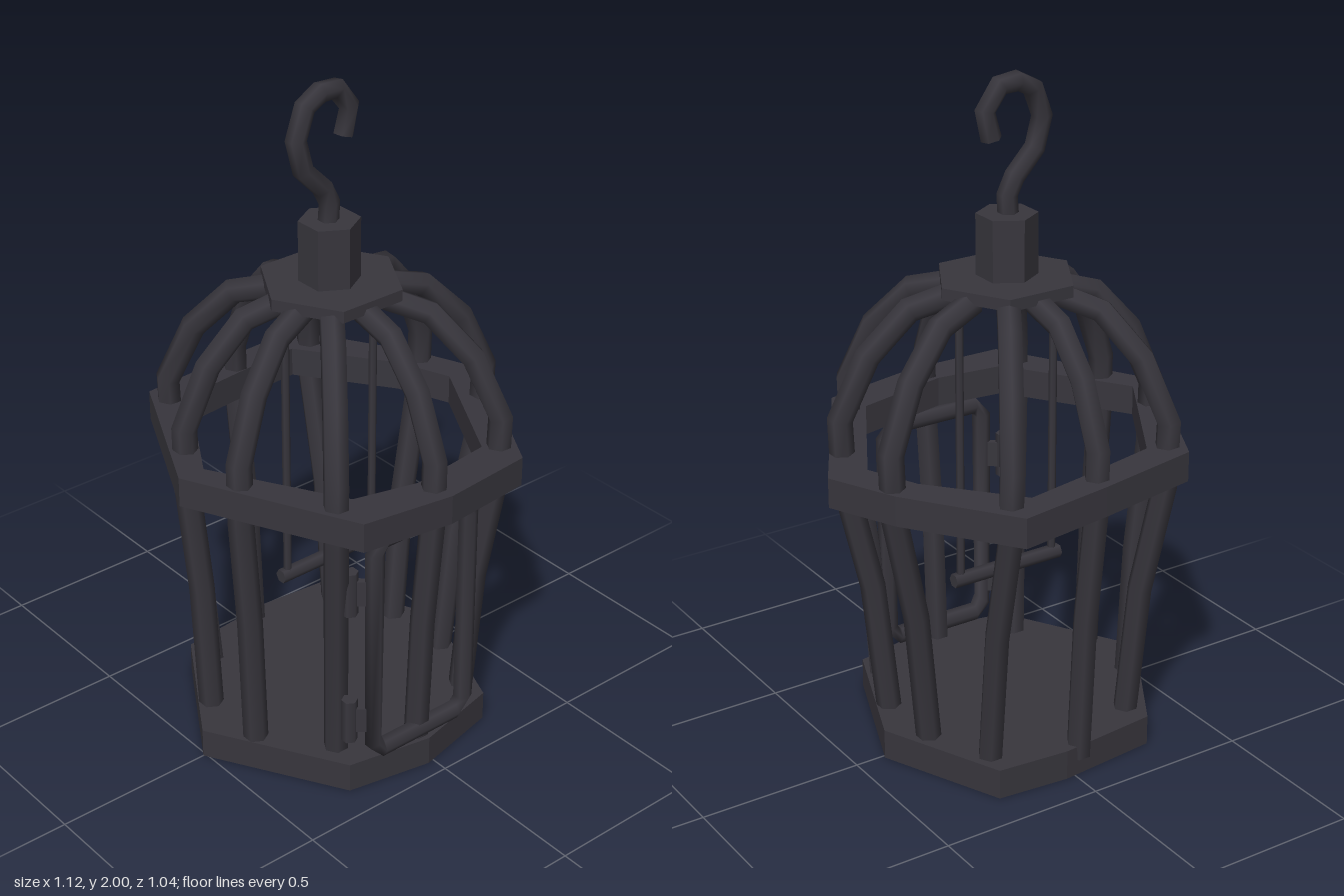
import * as THREE from 'three';

const iron = new THREE.MeshStandardMaterial({ color: 0x38363d });
iron.name = 'dark iron';

// Straight-segment path: one ring of the tube falls on every point
class Polyline extends THREE.Curve {
  constructor(points, closed = false) {
    super();
    this.points = closed ? [...points, points[0]] : points;
  }
  getPoint(t, target = new THREE.Vector3()) {
    const n = this.points.length - 1;
    const i = Math.min(Math.floor(t * n + 1e-9), n - 1);
    return target.lerpVectors(this.points[i], this.points[i + 1], t * n - i);
  }
  getPointAt(u, target) { return this.getPoint(u, target); }
  getTangentAt(u, target) { return this.getTangent(u, target); }
}

const v = (x, y, z) => new THREE.Vector3(x, y, z);

export function createModel() {
  const model = new THREE.Group();
  model.name = 'birdcage';

  const add = (name, geometry, parent = model) => {
    const mesh = new THREE.Mesh(geometry, iron);
    mesh.name = name;
    parent.add(mesh);
    return mesh;
  };
  const group = (name) => {
    const g = new THREE.Group();
    g.name = name;
    model.add(g);
    return g;
  };
  const tube = (name, points, radius, parent, closed = false) =>
    add(name, new THREE.TubeGeometry(new Polyline(points, closed),
      closed ? points.length : points.length - 1, radius, 6, closed), parent);
  const rod = (name, radius, length, sides, x, y, z, parent) => {
    const mesh = add(name, new THREE.CylinderGeometry(radius, radius, length, sides), parent);
    mesh.position.set(x, y, z);
    return mesh;
  };
  // Horizontal slab from an outline of [x, z] corners
  const slab = (outline, height, hole) => {
    const toPoints = (list) => list.map(([x, z]) => new THREE.Vector2(x, -z));
    const shape = new THREE.Shape(toPoints(outline));
    if (hole) shape.holes.push(new THREE.Path(toPoints(hole)));
    return new THREE.ExtrudeGeometry(shape, { depth: height, bevelEnabled: false }).rotateX(-Math.PI / 2);
  };

  // Floor
  add('base', slab([[-0.51, 0], [-0.28, 0.4], [-0.02, 0.45], [0.25, 0.39],
    [0.41, -0.01], [0.25, -0.38], [0.03, -0.4], [-0.28, -0.37]], 0.092));

  // Slightly tilted band around the bars
  const outer = [[-0.56, 0], [-0.31, 0.49], [-0.02, 0.52], [0.28, 0.48], [0.56, 0.01],
    [0.47, -0.2], [0.26, -0.525], [-0.02, -0.5], [-0.33, -0.46]];
  const inner = [[-0.475, 0], [-0.25, 0.37], [-0.05, 0.41], [0.23, 0.365], [0.445, -0.01],
    [0.38, -0.17], [0.18, -0.43], [-0.02, -0.405], [-0.25, -0.37]];
  const band = slab(outer, 0.09, inner);
  const p = band.attributes.position;
  for (let i = 0; i < p.count; i++) p.setY(i, p.getY(i) + 0.867 - 0.04 * p.getX(i));
  band.computeVertexNormals();
  add('band', band);

  // Bars: [x, z] at the band, then [x, z] at the floor
  const bars = group('bars');
  const cx = -0.025;
  [
    [-0.03, 0.455, -0.03, 0.4], [0.275, 0.39, 0.235, 0.3], [0.45, 0.13, 0.315, 0.115],
    [0.455, -0.155, 0.31, -0.1], [0.25, -0.44, 0.225, -0.29], [-0.03, -0.44, -0.03, -0.37],
    [-0.31, -0.39, -0.26, -0.28], [-0.45, -0.12, -0.4, -0.1], [-0.45, 0.13, -0.4, 0.115],
    [-0.315, 0.38, -0.25, 0.3],
  ].forEach(([x, z, fx, fz]) => {
    const lower = (y, t) => v(fx + (x - fx) * t, y, fz + (z - fz) * t);
    const dome = (y, f) => v(cx + (x - cx) * f, y, z * f);
    tube('bar', [lower(0.05, 0), lower(0.5, 0.35), lower(0.85, 0.95), dome(1.04, 1),
      dome(1.22, 0.83), dome(1.345, 0.58), dome(1.38, 0.3)], 0.037, bars);
  });

  // Crown plate and neck
  const crown = rod('crownPlate', 0.21, 0.035, 6, -0.02, 1.402, 0);
  crown.geometry = crown.geometry.toNonIndexed();
  crown.geometry.rotateY(Math.PI / 6);
  crown.geometry.computeVertexNormals();
  const neck = rod('neck', 0.088, 0.19, 6, cx, 1.505, 0);
  neck.geometry = neck.geometry.toNonIndexed();
  neck.geometry.computeVertexNormals();

  // Hanging hook with a closed tip
  const hook = group('hook');
  const path = [[-0.03, 1.58, 0], [-0.025, 1.65, 0], [-0.05, 1.7, 0], [-0.12, 1.77, 0.005],
    [-0.14, 1.86, 0], [-0.105, 1.945, -0.005], [-0.05, 1.972, -0.01], [0.01, 1.968, -0.015],
    [0.06, 1.905, -0.02], [0.04, 1.825, -0.02]].map((a) => v(...a));
  tube('hookWire', path, 0.03, hook);
  const tip = add('hookTip', new THREE.CircleGeometry(0.03, 6), hook);
  const end = path[path.length - 1];
  tip.position.copy(end);
  tip.lookAt(end.clone().multiplyScalar(2).sub(path[path.length - 2]));

  // Swing
  const swing = group('swing');
  for (const x of [-0.185, 0.135]) rod('swingWire', 0.012, 0.89, 6, x, 0.945, 0, swing);
  rod('perch', 0.022, 0.37, 6, -0.025, 0.507, 0, swing).rotation.z = Math.PI / 2;

  // Door frame and hinges
  const door = group('door');
  const z = 0.42;
  tube('doorFrame', [[-0.21, 0.16], [-0.18, 0.122], [0.1, 0.122], [0.135, 0.16],
    [0.135, 0.8], [0.1, 0.838], [-0.18, 0.838], [-0.21, 0.8]].map(([x, y]) => v(x, y, z)),
  0.028, door, true);
  for (const y of [0.235, 0.67]) {
    rod('hinge', 0.024, 0.14, 6, -0.262, y, 0.375, door);
    const tab = add('hingeTab', new THREE.BoxGeometry(0.06, 0.08, 0.02), door);
    tab.position.set(-0.235, y, 0.395);
    tab.rotation.y = -0.7;
  }

  return model;
}
